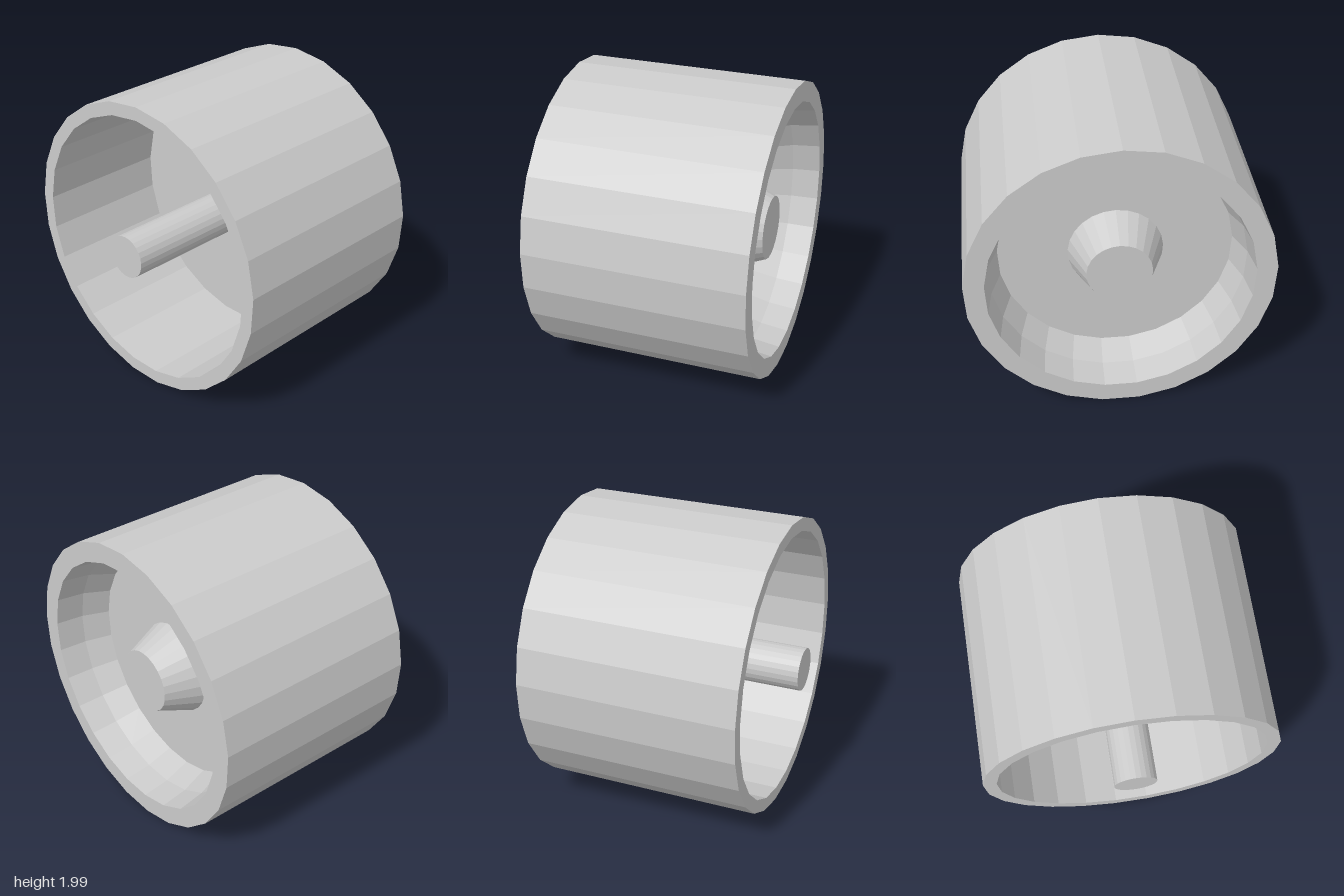
import * as THREE from 'three';

const SIDES = 25;
const material = new THREE.MeshStandardMaterial({ color: 0xcccccc, flatShading: true });

// Turns a [radius, x] profile around the x axis, with a corner pointing up
function turned(name, profile) {
  const points = profile.map(([r, x]) => new THREE.Vector2(r, x));
  const geometry = new THREE.LatheGeometry(points, SIDES, -Math.PI / 2);
  geometry.rotateZ(-Math.PI / 2);
  const mesh = new THREE.Mesh(geometry, material);
  mesh.name = name;
  mesh.position.y = 1;
  return mesh;
}

export function createModel() {
  const wheel = new THREE.Group();
  wheel.name = 'wheel';

  // Drum with a deep hollow back and a shallow tapered dish on the outer face
  wheel.add(turned('wheelDrum', [
    [0, 0.24], [0.91, 0.24], [0.91, -0.68], [1, -0.68], [1, 0.8],
    [0.865, 0.8], [0.84, 0.61], [0.775, 0.43], [0, 0.43],
  ]));

  // Tapered hub in the middle of the dish
  wheel.add(turned('hub', [[0.315, 0.43], [0.215, 0.68], [0, 0.68]]));

  // Axle running out through the hollow back
  wheel.add(turned('axle', [[0, -0.805], [0.145, -0.805], [0.145, 0.24]]));

  return wheel;
}
